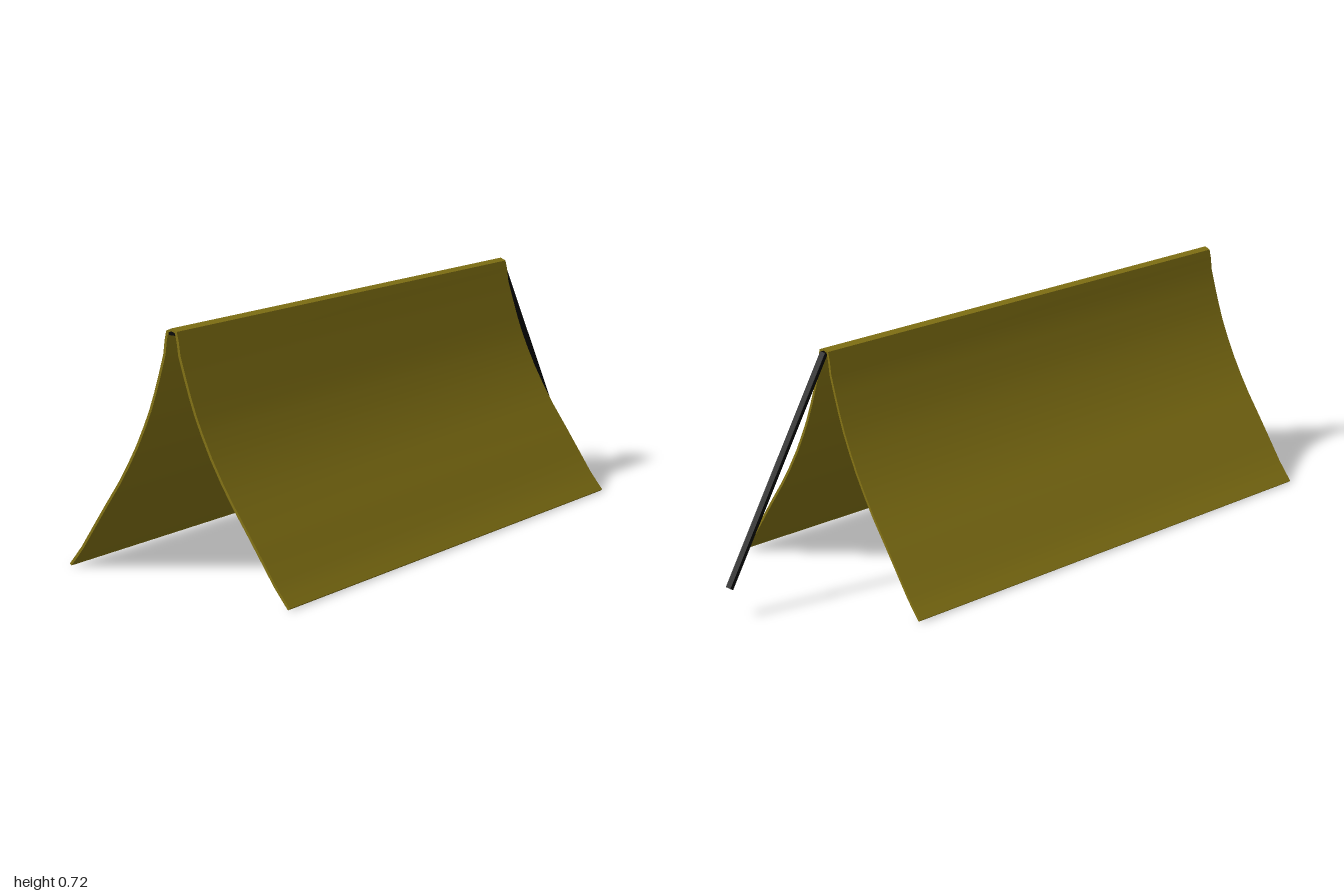
import * as THREE from 'three';
import { toCreasedNormals } from 'three/addons/utils/BufferGeometryUtils.js';

const FRONT = 1, BACK = -0.63, THICK = 0.008;

// Half of the sheet's cross-section, from the ridge to the ground
const half = [
  [0, 0.712], [0.015, 0.706], [0.021, 0.68], [0.026, 0.643], [0.043, 0.588],
  [0.061, 0.533], [0.08, 0.482], [0.1, 0.437], [0.13, 0.376], [0.165, 0.315],
  [0.2, 0.26], [0.25, 0.19], [0.3, 0.118], [0.34, 0.06], [0.365, 0.029], [0.387, 0.003],
];

// Thicken an open centre line into a closed outline
function thicken(line, t) {
  const left = [], right = [];
  line.forEach((p, i) => {
    const a = line[Math.max(i - 1, 0)], b = line[Math.min(i + 1, line.length - 1)];
    const n = new THREE.Vector2(a.y - b.y, b.x - a.x).normalize().multiplyScalar(t / 2);
    left.push(p.clone().add(n));
    right.unshift(p.clone().sub(n));
  });
  return new THREE.Shape([...left, ...right]);
}

// Flat cord between two points
function cord(name, from, to, material) {
  const mesh = new THREE.Mesh(new THREE.BoxGeometry(0.021, 0.011, from.distanceTo(to)), material);
  mesh.name = name;
  mesh.position.copy(from).lerp(to, 0.5);
  mesh.lookAt(to);
  return mesh;
}

export function createModel() {
  const group = new THREE.Group();
  group.name = 'tarpTent';
  const canvas = new THREE.MeshStandardMaterial({ color: 0x857414 });
  const black = new THREE.MeshStandardMaterial({ color: 0x050505 });

  // Draped sheet, mirrored about the ridge
  const line = [
    ...half.slice(1).reverse().map(([x, y]) => new THREE.Vector2(-x, y)),
    ...half.map(([x, y]) => new THREE.Vector2(x, y)),
  ];
  const geometry = new THREE.ExtrudeGeometry(thicken(line, THICK), {
    depth: FRONT - BACK, bevelEnabled: false,
  });
  geometry.translate(0, 0, BACK);
  const sheet = new THREE.Mesh(toCreasedNormals(geometry, 0.5), canvas);
  sheet.name = 'sheet';
  group.add(sheet);

  // Cord along the inside of the ridge, then down behind the tent
  const top = new THREE.Vector3(0, 0.702, BACK);
  group.add(cord('ridgeCord', new THREE.Vector3(0, 0.702, FRONT - 0.002), top, black));
  group.add(cord('guyLine', top, new THREE.Vector3(0, 0.091, -0.993), black));
  return group;
}
